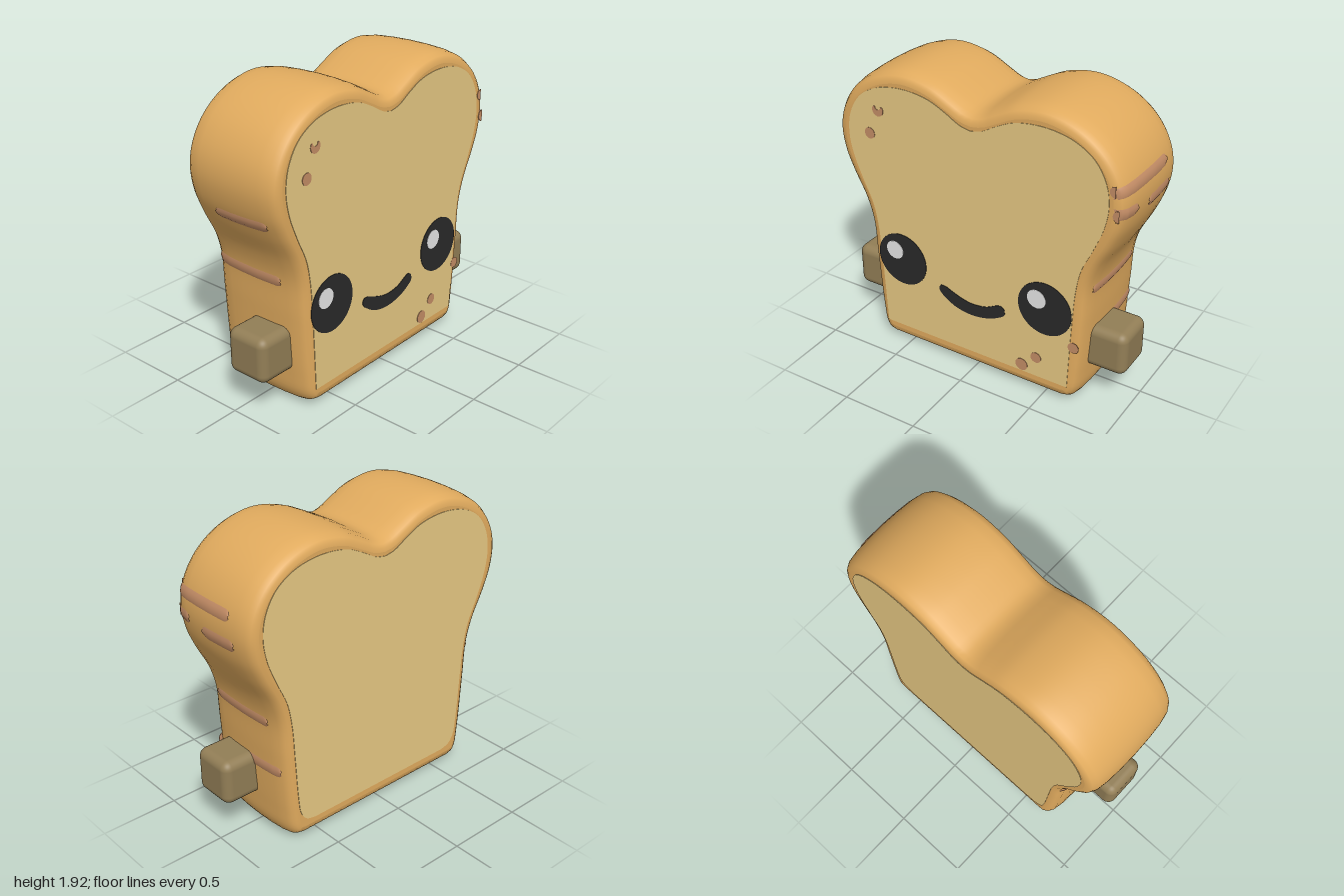
import * as THREE from 'three';
import { RoundedBoxGeometry } from 'three/addons/geometries/RoundedBoxGeometry.js';

const mat = (name, color, side = THREE.FrontSide) => {
  const m = new THREE.MeshStandardMaterial({ color, side });
  m.name = name;
  return m;
};

// Mirrored closed outline from a right half running bottom to top centre
function mirrored(half) {
  const left = half.filter(p => p.x > 1e-4).reverse().map(p => new THREE.Vector2(-p.x, p.y));
  return [...half, ...left];
}
function spline(points, n) {
  const c = new THREE.CatmullRomCurve3(points.map(([x, y]) => new THREE.Vector3(x, y, 0)), false, 'centripetal');
  return c.getSpacedPoints(n).map(p => new THREE.Vector2(Math.max(0, p.x), p.y));
}

// Loaf outline, right half
const HALF = spline([
  [0.62, 0], [0.69, 0.02], [0.73, 0.08], [0.75, 0.22], [0.775, 0.6], [0.79, 0.84], [0.83, 0.98],
  [0.915, 1.15], [0.97, 1.29], [0.99, 1.44], [0.963, 1.58], [0.88, 1.72], [0.75, 1.83], [0.6, 1.895],
  [0.45, 1.916], [0.27, 1.885], [0.13, 1.82], [0.05, 1.78], [0, 1.77],
], 90);
const OUTLINE = mirrored(HALF);
const COUNT = OUTLINE.length;
const NORMALS = OUTLINE.map((p, i) => {
  const a = OUTLINE[(i + COUNT - 1) % COUNT], b = OUTLINE[(i + 1) % COUNT];
  return new THREE.Vector2(b.y - a.y, a.x - b.x).normalize();
});

// Inset of the crust against depth: a gentle bulge with rounded rims
const RIM = [[0, 0], [0.12, 0.003], [0.22, 0.01], [0.29, 0.023], [0.322, 0.042], [0.335, 0.062], [0.339, 0.085]];
function insetAt(z) {
  const a = Math.abs(z);
  for (let i = 1; i < RIM.length; i++) {
    const [z0, i0] = RIM[i - 1], [z1, i1] = RIM[i];
    if (a <= z1) return i0 + (i1 - i0) * (a - z0) / (z1 - z0);
  }
  return 0.085;
}

function gridGeometry(rows, closed) {
  const n = rows[0].length, pos = rows.flat(2), idx = [];
  for (let r = 0; r < rows.length - 1; r++) {
    for (let i = 0; i < (closed ? n : n - 1); i++) {
      const j = (i + 1) % n, a = r * n + i, b = r * n + j;
      idx.push(a, b, b + n, a, b + n, a + n);
    }
  }
  const g = new THREE.BufferGeometry();
  g.setAttribute('position', new THREE.Float32BufferAttribute(pos, 3));
  g.setIndex(idx);
  g.computeVertexNormals();
  return g;
}

const ring = (z, inset) => OUTLINE.map((p, i) => [p.x - NORMALS[i].x * inset, p.y - NORMALS[i].y * inset, z]);

// Point on the crust side at height y and depth z, raised a little
function sidePoint(y, z, sign, lift) {
  let i = 0;
  while (i < HALF.length - 2 && HALF[i + 1].y < y) i++;
  const t = (y - HALF[i].y) / (HALF[i + 1].y - HALF[i].y);
  const p = HALF[i].clone().lerp(HALF[i + 1], t);
  const n = NORMALS[i].clone().lerp(NORMALS[i + 1], t).normalize();
  const d = lift - insetAt(z);
  return [sign * (p.x + n.x * d), p.y + n.y * d, z];
}

// Rounded toast streak that follows the crust
function streakGeometry(sign, y, z0, z1, h, openFront) {
  const rows = [], N = 28, r = h / 2;
  for (let k = 0; k <= N; k++) {
    const z = z0 + (z1 - z0) * (0.5 - 0.5 * Math.cos(Math.PI * k / N));
    const e = Math.min(z - z0, openFront ? r : z1 - z, r) / r;
    const hh = r * Math.max(0.3, Math.sqrt(Math.max(0, 1 - (1 - e) ** 2)));
    rows.push([-1, -0.5, 0, 0.5, 1].map(s =>
      sidePoint(y + s * hh, z, sign, Math.abs(s) === 1 ? 0.001 : 0.007)));
  }
  return gridGeometry(rows, false);
}

export function createModel() {
  const crust = mat('crust', 0xe1ab5e);
  const crumb = mat('crumb', 0xfddc90);
  const toast = mat('toasted spots', 0xc48d66, THREE.DoubleSide);
  const ink = mat('eye black', 0x2a2a2a);
  const white = mat('eye shine', 0xffffff);
  const armColor = mat('arm brown', 0x927e56);

  const model = new THREE.Group();
  model.name = 'toastSlice';
  const add = (name, geo, material, x = 0, y = 0, z = 0) => {
    const m = new THREE.Mesh(geo, material);
    m.name = name;
    m.position.set(x, y, z);
    model.add(m);
    return m;
  };
  const plate = (name, shape, material, z, depth = 0.003, x = 0, y = 0) =>
    add(name, new THREE.ExtrudeGeometry(shape, { depth, bevelEnabled: false, curveSegments: 24 }), material, x, y, z);
  const disc = r => new THREE.Shape().absarc(0, 0, r, 0, Math.PI * 2);

  // Crust shell and its flat ends
  const profile = [...RIM.slice(1).reverse().map(([z, i]) => [-z, i]), ...RIM];
  add('crustShell', gridGeometry(profile.map(([z, i]) => ring(z, i)), true), crust);
  const capShape = new THREE.Shape(ring(0, 0.085).map(([x, y]) => new THREE.Vector2(x, y)));
  add('crustFront', new THREE.ShapeGeometry(capShape), crust, 0, 0, 0.339);
  add('crustBack', new THREE.ShapeGeometry(capShape).rotateY(Math.PI), crust, 0, 0, -0.339);

  // Crumb faces: square lower corners in front, round ones behind
  const upper = [
    [0.685, 0.6], [0.7, 0.82], [0.73, 0.98], [0.8, 1.14], [0.86, 1.3], [0.88, 1.44], [0.858, 1.57], [0.785, 1.69],
    [0.67, 1.765], [0.55, 1.797], [0.42, 1.803], [0.28, 1.78], [0.17, 1.73], [0.07, 1.675], [0, 1.66],
  ];
  plate('crumbFront', new THREE.Shape(mirrored(spline([[0.665, 0.122], ...upper], 70))), crumb, 0.339);
  plate('crumbBack', new THREE.Shape(mirrored(spline(
    [[0.54, 0.122], [0.61, 0.14], [0.65, 0.2], [0.665, 0.3], ...upper], 80))), crumb, -0.342);

  // Eyes with shines
  for (const [side, x] of [['right', -0.523], ['left', 0.503]]) {
    plate(side + 'Eye', disc(0.18), ink, 0.342, 0.003, x, 0.636);
    plate(side + 'EyeShine', disc(0.063), white, 0.345, 0.002, x - 0.055, 0.69);
  }

  // Smile, thicker in the middle
  const smile = new THREE.Shape();
  smile.moveTo(-0.195, 0.545);
  smile.splineThru([[-0.1, 0.507], [-0.01, 0.488], [0.09, 0.5], [0.18, 0.542], [0.215, 0.538], [0.229, 0.51],
    [0.215, 0.475], [0.12, 0.425], [0, 0.403], [-0.12, 0.42], [-0.21, 0.47], [-0.246, 0.51], [-0.235, 0.545],
    [-0.195, 0.545]].map(p => new THREE.Vector2(...p)));
  plate('smile', smile, ink, 0.342);

  // Toasted spots on the front
  for (const [x, y, r] of [[-0.72, 1.465, 0.036], [0.45, 0.26, 0.036], [0.35, 0.17, 0.042], [0.7, 0.43, 0.036]]) {
    plate('toastedSpot', disc(r), toast, x > 0.6 ? 0.34 : 0.342, 0.003, x, y);
  }
  const bitten = new THREE.Shape();
  bitten.absarc(0, 0, 0.039, Math.PI * 0.78, Math.PI * 2.2, false);
  bitten.absarc(0, 0.022, 0.02, 0, Math.PI, true);
  plate('bittenSpot', bitten, toast, 0.342, 0.003, -0.65, 1.63);

  // Streaks on the crust: side, height, depth range, width, runs on to the front
  for (const [s, y, z0, z1, h, open] of [
    [1, 1.537, -0.17, 0.339, 0.07, true], [1, 1.395, 0.19, 0.339, 0.075, true],
    [1, 1.37, -0.21, 0.065, 0.075, false], [1, 0.82, -0.22, 0.265, 0.065, false],
    [1, 0.495, -0.29, 0.03, 0.07, false],
    [-1, 1.22, -0.13, 0.25, 0.065, false], [-1, 0.82, -0.32, 0.19, 0.065, false],
  ]) add('toastedStreak', streakGeometry(s, y, z0, z1, h, open), toast);

  // Streak ends on the front rim
  for (const [x0, x1, y, r] of [[0.88, 0.915, 1.535, 0.035], [0.905, 0.925, 1.39, 0.037]]) {
    const end = new THREE.Shape();
    end.moveTo(x1, y - r);
    end.lineTo(x1, y + r);
    end.absarc(x0 + r, y, r, Math.PI / 2, Math.PI * 1.5, false);
    plate('streakEnd', end, toast, 0.34);
  }

  // Stubby arms
  for (const [side, s] of [['left', 1], ['right', -1]]) {
    add(side + 'Arm', new RoundedBoxGeometry(0.36, 0.29, 0.29, 5, 0.055), armColor, s * 0.802, 0.385, 0.083);
  }
  return model;
}
